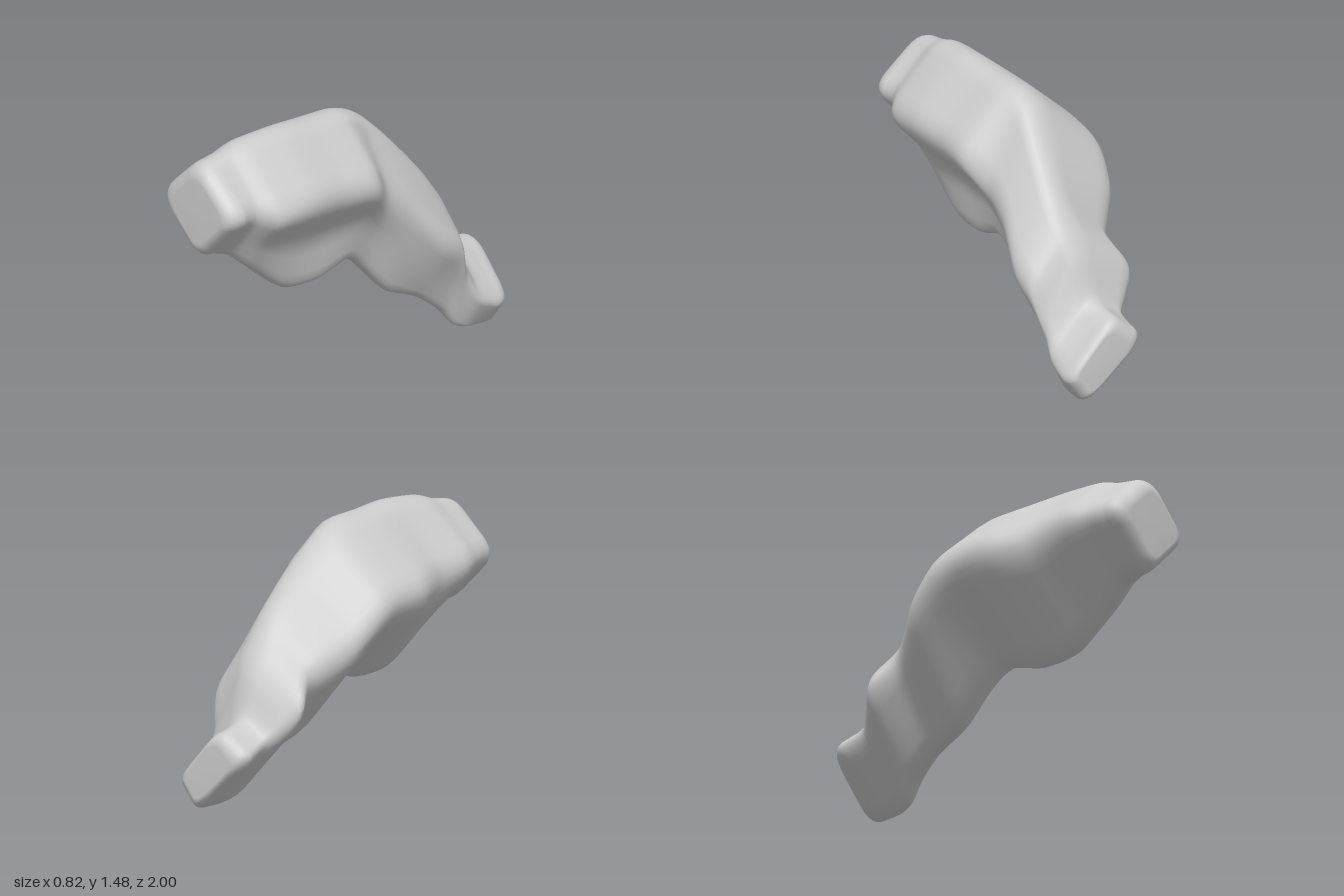
import * as THREE from 'three';

// Cross-sections from front to back: z, then x,y of the left, bottom, right and
// top corners of a rounded diamond, then how far the lower right side is hollowed.
const SECTIONS = [
  [0.9, -0.24, 1.15, 0.05, 0.88, 0.335, 1.165, 0.05, 1.42, 0],
  [0.8, -0.27, 1.14, 0.07, 0.85, 0.32, 1.16, 0.05, 1.435, 0],
  [0.68, -0.31, 1.12, 0.1, 0.75, 0.4, 1.12, 0.06, 1.47, 0.12],
  [0.45, -0.32, 1.07, 0.12, 0.565, 0.415, 1.12, 0.06, 1.48, 0.3],
  [0.22, -0.41, 1.05, 0.13, 0.545, 0.395, 1.1, 0.05, 1.46, 0.3],
  [0, -0.415, 1.03, 0.12, 0.6, 0.39, 1.08, 0.04, 1.445, 0.22],
  [-0.14, -0.415, 0.98, 0.08, 0.49, 0.3, 0.97, 0.04, 1.385, 0.08],
  [-0.3, -0.37, 0.85, 0.08, 0.33, 0.3, 0.85, 0.07, 1.23, 0],
  [-0.5, -0.22, 0.68, 0.1, 0.24, 0.345, 0.63, 0.1, 1.0, 0],
  [-0.64, -0.28, 0.54, 0.13, 0.13, 0.33, 0.54, 0.08, 0.81, 0],
  [-0.71, -0.22, 0.45, 0.15, 0.04, 0.28, 0.36, 0.07, 0.69, 0],
  [-0.79, -0.14, 0.35, 0.165, 0.01, 0.285, 0.22, 0.05, 0.48, 0],
  [-0.92, -0.15, 0.29, 0.17, 0.005, 0.29, 0.16, 0.03, 0.435, 0],
];
const STEPS = 5; // rings per section
const ARC = 8; // points per rounded corner
const CUT = 0.28; // share of each side used by the rounding
const CAP_RINGS = 6;

// Smooth blend through the sections
function blend(i, t) {
  const at = (k) => SECTIONS[THREE.MathUtils.clamp(k, 0, SECTIONS.length - 1)];
  const [a, b, c, d] = [at(i - 1), at(i), at(i + 1), at(i + 2)];
  return b.map((p, k) => {
    const m0 = (c[k] - a[k]) * 0.4;
    const m1 = (d[k] - p) * 0.4;
    const t2 = t * t, t3 = t2 * t;
    return (2 * t3 - 3 * t2 + 1) * p + (t3 - 2 * t2 + t) * m0 + (3 * t2 - 2 * t3) * c[k] + (t3 - t2) * m1;
  });
}

// Rounded outline of one section, counterclockwise seen from the front
function outline([z, lx, ly, bx, by, rx, ry, tx, ty, hollow]) {
  const V = (x, y) => new THREE.Vector2(x, y);
  const corners = [V(tx, ty), V(lx, ly), V(bx, by), V(rx, ry)];
  // Push the corners out so the rounding still reaches the given extents
  const pushed = corners.map((p, i) => {
    const sum = corners[(i + 3) % 4].clone().add(corners[(i + 1) % 4]).addScaledVector(p, -2);
    return p.clone().addScaledVector(sum, -CUT * 0.28);
  });
  const centre = V((lx + rx) / 2, (ty + by) / 2);
  const notch = pushed[2].clone().lerp(pushed[3], 0.5).lerp(centre, hollow);
  const loop = [pushed[0], pushed[1], pushed[2], notch, pushed[3]];
  const points = [];
  loop.forEach((p, i) => {
    // The notch halves its sides, so cut them by a larger share
    const prev = loop[(i + 4) % 5], next = loop[(i + 1) % 5];
    const cutA = i === 4 ? CUT * 1.6 : CUT;
    const cutB = i === 2 ? CUT * 1.6 : CUT;
    const arc = new THREE.QuadraticBezierCurve(p.clone().lerp(prev, cutA), p, p.clone().lerp(next, cutB));
    arc.getPoints(ARC - 1).forEach((q) => points.push([q.x, q.y, z]));
  });
  return points;
}

const ringCentre = (ring) => [0, 1, 2].map((k) => ring.reduce((s, p) => s + p[k], 0) / ring.length);

// Rings that round an end over from its last outline to a blunt face at endZ
function roundedEnd(ring, endZ, inset) {
  const [cx, cy, z] = ringCentre(ring);
  return Array.from({ length: CAP_RINGS }, (_, i) => {
    const angle = ((i + 1) / CAP_RINGS) * Math.PI / 2;
    const scale = 1 - inset * (1 - Math.cos(angle));
    const depth = z + (endZ - z) * Math.sin(angle);
    return ring.map(([x, y]) => [cx + (x - cx) * scale, cy + (y - cy) * scale, depth]);
  });
}

function loft(rings) {
  const n = rings[0].length;
  const positions = rings.flat(2);
  const index = [];
  for (let i = 0; i < rings.length - 1; i++) {
    for (let j = 0; j < n; j++) {
      const a = i * n + j, b = i * n + ((j + 1) % n);
      index.push(a, a + n, b, b, a + n, b + n);
    }
  }
  // Close both ends with a fan
  [0, rings.length - 1].forEach((r) => {
    const hub = positions.length / 3;
    positions.push(...ringCentre(rings[r]));
    for (let j = 0; j < n; j++) {
      const a = r * n + j, b = r * n + ((j + 1) % n);
      if (r === 0) index.push(hub, a, b);
      else index.push(hub, b, a);
    }
  });
  const geometry = new THREE.BufferGeometry();
  geometry.setAttribute('position', new THREE.Float32BufferAttribute(positions, 3));
  geometry.setIndex(index);
  geometry.computeVertexNormals();
  return geometry;
}

export function createModel() {
  const group = new THREE.Group();
  group.name = 'bentBody';
  const rings = [];
  for (let i = 0; i < SECTIONS.length - 1; i++) {
    for (let s = 0; s < STEPS; s++) rings.push(outline(blend(i, s / STEPS)));
  }
  rings.push(outline(SECTIONS[SECTIONS.length - 1]));
  const front = roundedEnd(rings[0], 1, 0.33).reverse();
  const tail = roundedEnd(rings[rings.length - 1], -1, 0.33);

  // Blunt head, lower fin and drooping tail in one smooth skin
  const body = new THREE.Mesh(
    loft([...front, ...rings, ...tail]),
    new THREE.MeshStandardMaterial({ color: 0xcccccc })
  );
  body.name = 'body';
  group.add(body);
  // Stand exactly on the ground
  body.geometry.computeBoundingBox();
  body.position.y = -body.geometry.boundingBox.min.y;
  return group;
}
